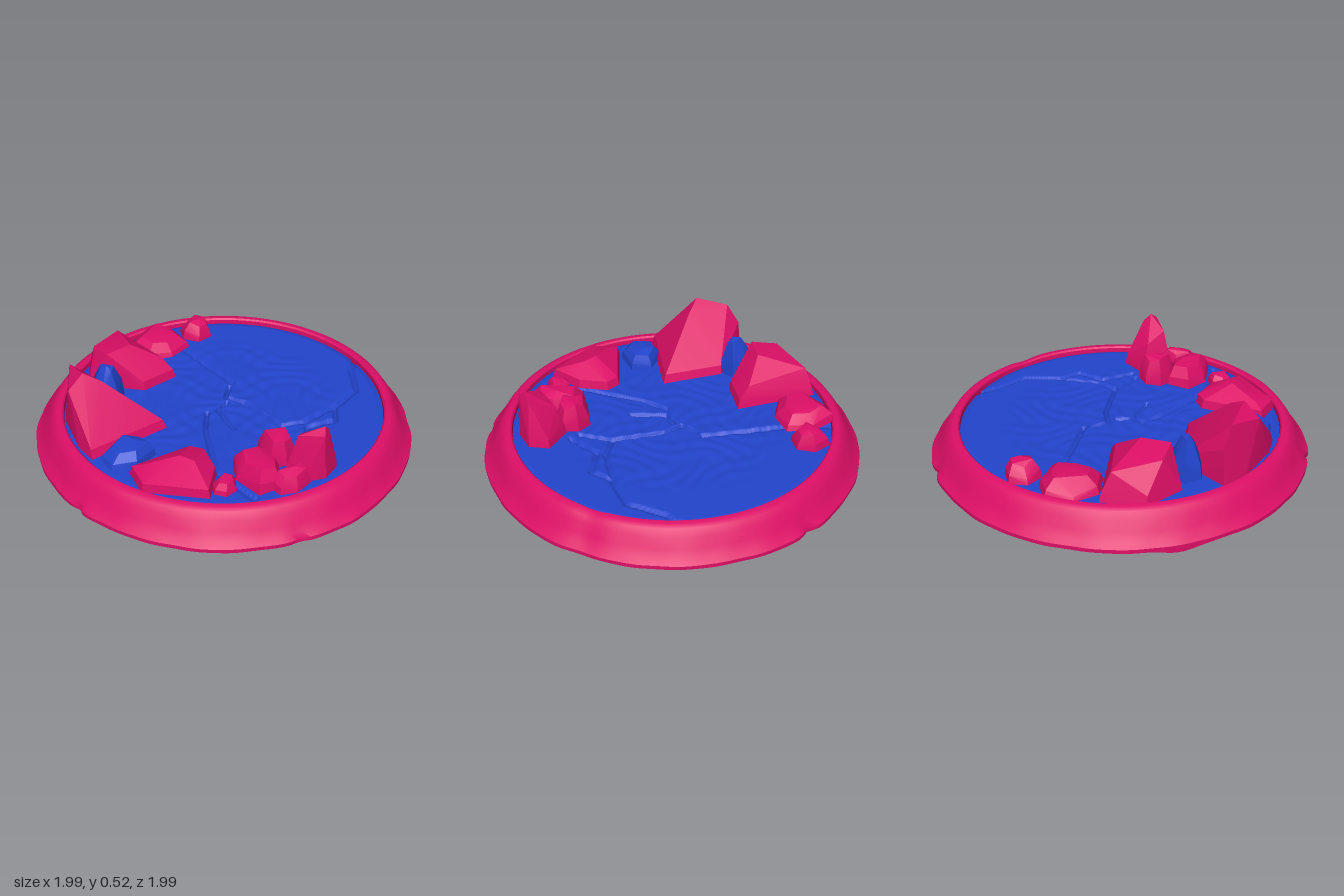
import * as THREE from 'three';
import { toCreasedNormals } from 'three/addons/utils/BufferGeometryUtils.js';
import { ConvexGeometry } from 'three/addons/geometries/ConvexGeometry.js';

const red = new THREE.MeshStandardMaterial({ color: 0xdd0f66, side: THREE.DoubleSide });
const blue = new THREE.MeshStandardMaterial({ color: 0x2244cc, side: THREE.DoubleSide });
const FLOOR = 0.178;
const smooth = (a, b, t) => THREE.MathUtils.smoothstep(t, a, b);
const lathe = (profile, sides) => new THREE.LatheGeometry(profile.map(([r, y]) => new THREE.Vector2(r, y)), sides);

function add(group, name, geometry, material) {
  const mesh = new THREE.Mesh(geometry, material);
  mesh.name = name;
  group.add(mesh);
}

// Move every vertex by a rule
function reshape(geometry, rule) {
  const p = geometry.attributes.position;
  const v = new THREE.Vector3();
  for (let i = 0; i < p.count; i++) {
    rule(v.fromBufferAttribute(p, i));
    p.setXYZ(i, v.x, v.y, v.z);
  }
  geometry.computeVertexNormals();
  return geometry;
}

// Chips in the rim: x, z, size, depth
const chips = [[0.03, 1, 0.03, 0.02], [-0.47, -0.88, 0.035, 0.02],
  [0.58, -0.69, 0.07, 0.02], [0.95, 0.36, 0.035, 0.015]];

// Weathered stone rim: sloping outside, hollow underneath
function rimGeometry() {
  const g = lathe([[0.84, 0.17], [0.845, 0.12], [0.87, 0.11], [0.9, 0.12], [0.935, 0.1], [0.965, 0.05],
    [0.98, 0.022], [0.995, 0.025], [0.995, 0.045], [0.97, 0.07], [0.945, 0.11], [0.92, 0.155],
    [0.895, 0.19], [0.875, 0.203], [0.85, 0.203], [0.842, 0.195], [0.84, 0.17]], 180);
  reshape(g, v => {
    const a = Math.atan2(v.x, v.z);
    const outer = smooth(0.86, 0.97, Math.hypot(v.x, v.z));
    const wave = 0.5 * Math.sin(9 * a + 1) + 0.4 * Math.sin(17 * a + 20 * v.y) + 0.3 * Math.sin(31 * a - 30 * v.y);
    let k = 1 + outer * 0.004 * wave;
    for (const [x, z, size, depth] of chips) {
      const cut = depth * Math.exp(-(((v.x - x) ** 2 + (v.z - z) ** 2) / size ** 2));
      k -= outer * cut;
      if (v.y > 0.18) v.y -= 0.6 * cut;
    }
    // Sagging spot on the lower edge
    if (v.y < 0.04) v.y -= 0.02 * Math.exp(-(((a + 1.1) / 0.1) ** 2));
    v.x *= k;
    v.z *= k;
  });
  return toCreasedNormals(g, 0.7);
}

// Cracks across the floor as x, z paths
const cracks = [
  [[0.17, -0.83], [0.22, -0.75], [0.38, -0.62], [0.41, -0.45], [0.4, -0.2], [0.34, -0.09]],
  [[0.41, -0.42], [0.5, -0.33], [0.44, -0.18], [0.55, -0.03]],
  [[-0.1, -0.13], [-0.04, -0.05], [0.06, -0.09], [0.34, -0.09], [0.5, 0]],
  [[0, -0.02], [0.02, 0.06], [0.2, 0.11]],
  [[0, 0.12], [0.1, 0.22], [0.4, 0.42], [0.68, 0.42]],
  [[-0.82, -0.25], [-0.6, -0.2], [-0.12, -0.17]],
];

function crackDistance(x, z) {
  let best = 9;
  for (const path of cracks) {
    for (let i = 1; i < path.length; i++) {
      const [ax, az] = path[i - 1];
      const dx = path[i][0] - ax, dz = path[i][1] - az;
      const t = THREE.MathUtils.clamp(((x - ax) * dx + (z - az) * dz) / (dx * dx + dz * dz), 0, 1);
      best = Math.min(best, Math.hypot(x - ax - t * dx, z - az - t * dz));
    }
  }
  return best;
}

// Floor slab with worn winding relief and sunken cracks
function floorGeometry() {
  const g = new THREE.RingGeometry(0.001, 0.842, 320, 110);
  g.rotateX(-Math.PI / 2);
  return reshape(g, v => {
    const { x, z } = v;
    const worn = 1 - smooth(0.45, 0.62, Math.hypot(x, z + 0.05));
    const relief = Math.sin(36 * x + 3 * Math.sin(13 * z)) * Math.sin(36 * z + 3 * Math.sin(14 * x));
    const gap = 1 - smooth(0.002, 0.017, crackDistance(x, z));
    const edge = smooth(0.81, 0.84, Math.hypot(x, z));
    v.y = FLOOR + 0.004 * worn * relief - 0.02 * gap - 0.008 * edge;
  });
}

const hull = points => toCreasedNormals(new ConvexGeometry(points), 0.3);

// Large rock: ground outline as x, z and crown corners as x, y, z
function largeRock(outline, crown) {
  const points = crown.map(p => new THREE.Vector3(...p));
  const middle = new THREE.Vector3();
  points.forEach(p => middle.addScaledVector(p, 1 / points.length));
  for (const [x, z] of outline) {
    const foot = new THREE.Vector3(x, FLOOR + 0.002, z);
    points.push(foot, foot.clone().lerp(middle, 0.05).setY(FLOOR + 0.05));
  }
  return hull(points);
}

const largeRocks = {
  peakRock: largeRock(
    [[-0.56, 0.61], [-0.38, 0.38], [-0.04, 0.36], [-0.08, 0.81], [-0.2, 0.8], [-0.44, 0.71]],
    [[-0.54, 0.37, 0.6], [-0.48, 0.475, 0.63], [-0.31, 0.52, 0.67], [-0.25, 0.47, 0.6], [-0.33, 0.44, 0.75]]),
  broadRock: largeRock(
    [[-0.81, 0.05], [-0.37, 0.02], [-0.38, 0.23], [-0.63, 0.42], [-0.8, 0.28]],
    [[-0.77, 0.33, 0.1], [-0.68, 0.365, 0.33], [-0.53, 0.39, 0.2], [-0.54, 0.385, 0.35], [-0.44, 0.29, 0.06]]),
  frontRock: largeRock(
    [[0.13, 0.74], [0.2, 0.41], [0.27, 0.37], [0.42, 0.43], [0.54, 0.58], [0.28, 0.79]],
    [[0.19, 0.25, 0.7], [0.3, 0.295, 0.56], [0.37, 0.285, 0.53], [0.46, 0.24, 0.6]]),
  tallRock: largeRock(
    [[0.56, 0.03], [0.67, -0.09], [0.77, -0.05], [0.8, 0.06], [0.76, 0.14], [0.64, 0.18]],
    [[0.61, 0.34, 0.05], [0.67, 0.4, 0.13], [0.76, 0.46, 0.04], [0.79, 0.43, 0.07], [0.75, 0.42, 0]]),
};

// Small rock: a squarish outline narrowing to a smaller crown around the summit
function smallRock([cx, cz], [halfX, halfZ], sides, [px, top, pz], crown) {
  const points = [new THREE.Vector3(px, top, pz)];
  for (let i = 0; i < sides; i++) {
    const a = cx * 9 + (i / sides) * Math.PI * 2;
    const c = Math.cos(a), s = Math.sin(a);
    const chip = Math.sin(i * 2.4 + cx * 40);
    const r = (1 + 0.05 * chip) / Math.sqrt(Math.max(Math.abs(c), Math.abs(s)));
    const foot = new THREE.Vector3(cx + halfX * r * c, FLOOR + 0.002, cz + halfZ * r * s);
    const rise = (top - FLOOR) * (0.85 + 0.12 * chip);
    const shoulder = new THREE.Vector3(px, 0, pz).lerp(foot, crown).setY(FLOOR + rise);
    const waist = foot.clone().lerp(shoulder, 0.2).setY(FLOOR + rise * (0.45 + 0.1 * chip));
    points.push(foot, waist, shoulder);
  }
  return hull(points);
}

// Name, material, centre, half size, sides, summit, crown scale
const smallRocks = [
  ['sideRock', red, [-0.685, -0.115], [0.155, 0.155], 7, [-0.67, 0.27, -0.12], 0.6],
  ['endRock', red, [-0.64, -0.36], [0.095, 0.09], 6, [-0.62, 0.28, -0.38], 0.6],
  ['pebble', red, [0.525, 0.475], [0.06, 0.068], 6, [0.53, 0.24, 0.46], 0.6],
  ['lowRock', red, [0.56, 0.29], [0.15, 0.11], 6, [0.57, 0.295, 0.26], 0.65],
  ['roundRock', red, [0.51, 0.12], [0.092, 0.095], 7, [0.52, 0.33, 0.11], 0.65],
  ['edgeRock', red, [0.72, 0.22], [0.068, 0.1], 6, [0.72, 0.28, 0.2], 0.65],
  ['blueSlab', blue, [0.02, 0.665], [0.105, 0.135], 6, [0.02, 0.265, 0.62], 0.65],
  ['blueShard', blue, [-0.475, 0.415], [0.095, 0.088], 6, [-0.45, 0.39, 0.42], 0.4],
];

export function createModel() {
  const model = new THREE.Group();
  model.name = 'rockyBase';
  add(model, 'rim', rimGeometry(), red);
  add(model, 'floor', floorGeometry(), blue);
  // Lip of the floor slab, seen under the rim
  add(model, 'floorLip', lathe([[0.872, 0.13], [0.876, 0.1], [0.892, 0.1], [0.896, 0.13]], 120), blue);

  const rocks = new THREE.Group();
  rocks.name = 'rocks';
  for (const [name, geometry] of Object.entries(largeRocks)) add(rocks, name, geometry, red);
  for (const [name, material, ...shape] of smallRocks) add(rocks, name, smallRock(...shape), material);
  model.add(rocks);
  return model;
}
